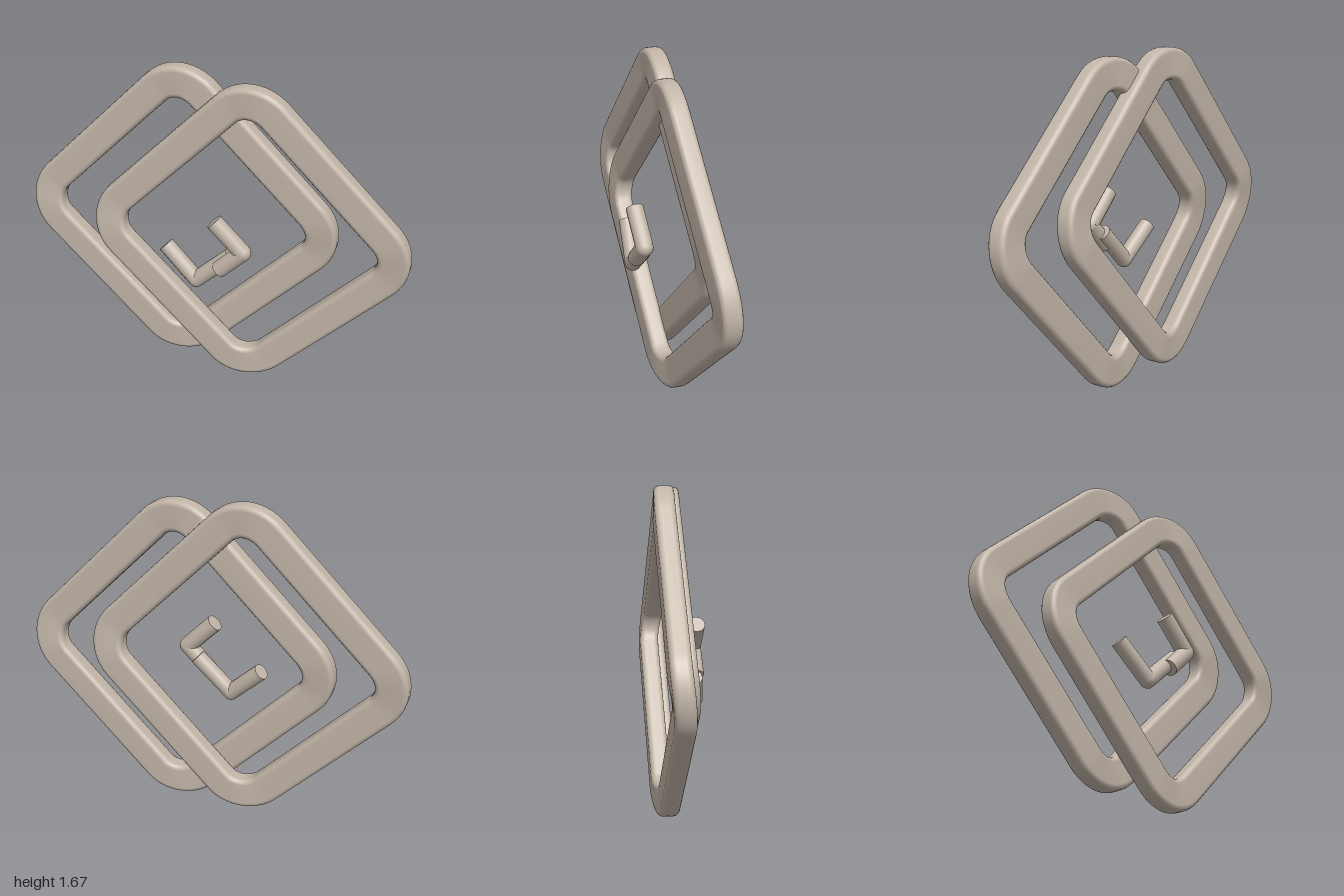
import * as THREE from 'three';

const stone = new THREE.MeshStandardMaterial({ color: 0xc2b5a8 });
stone.name = 'warmGrey';

// Rounded-rectangle cross-section as [across, depth] pairs, counter-clockwise
function section(width, depth, radius, steps) {
  const pts = [];
  [[1, 1], [-1, 1], [-1, -1], [1, -1]].forEach(([sx, sz], c) => {
    for (let k = 0; k <= steps; k++) {
      const a = (c + k / steps) * Math.PI / 2;
      pts.push([
        sx * (width / 2 - radius) + radius * Math.cos(a),
        sz * (depth / 2 - radius) + radius * Math.sin(a),
      ]);
    }
  });
  return pts;
}

// Diamond ring whose arms sit alternately a little forward and back
function ring(name, x, y, z) {
  const half = 0.571, bend = 0.178, shift = 0.011, arcSteps = 14;
  const prof = section(0.16, 0.097, 0.026, 4);
  const n = prof.length, rows = 4 * (arcSteps + 1);
  const pos = [], idx = [];
  for (let c = 0; c < 4; c++) {
    const mid = c * Math.PI / 2, d = (half - bend) * Math.SQRT2;
    for (let k = 0; k <= arcSteps; k++) {
      const t = k / arcSteps;
      const a = mid + (t - 0.5) * Math.PI / 2;
      const oz = (c % 2 ? 1 : -1) * shift * Math.cos(t * Math.PI);
      for (const [w, h] of prof) {
        pos.push(
          d * Math.cos(mid) + (bend + w) * Math.cos(a),
          d * Math.sin(mid) + (bend + w) * Math.sin(a),
          h + oz,
        );
      }
    }
  }
  for (let i = 0; i < rows; i++) {
    for (let j = 0; j < n; j++) {
      const i2 = (i + 1) % rows, j2 = (j + 1) % n;
      const a = i * n + j, b = i2 * n + j, e = i2 * n + j2, f = i * n + j2;
      idx.push(a, b, e, a, e, f);
    }
  }
  const g = new THREE.BufferGeometry();
  g.setAttribute('position', new THREE.Float32BufferAttribute(pos, 3));
  g.setIndex(idx);
  g.computeVertexNormals();
  const mesh = new THREE.Mesh(g, stone);
  mesh.name = name;
  mesh.position.set(x, y, z);
  return mesh;
}

// Bent rod: straight cylinders with a round elbow at each inner point
function rod(name, radius, points) {
  const group = new THREE.Group();
  group.name = name;
  const v = points.map((p) => new THREE.Vector3(...p));
  for (let i = 0; i + 1 < v.length; i++) {
    const dir = v[i + 1].clone().sub(v[i]);
    const bar = new THREE.Mesh(new THREE.CylinderGeometry(radius, radius, dir.length(), 16), stone);
    bar.name = 'bar';
    bar.position.copy(v[i]).add(v[i + 1]).multiplyScalar(0.5);
    bar.quaternion.setFromUnitVectors(new THREE.Vector3(0, 1, 0), dir.normalize());
    group.add(bar);
    if (i > 0) {
      const elbow = new THREE.Mesh(new THREE.SphereGeometry(radius, 16, 12), stone);
      elbow.name = 'elbow';
      elbow.position.copy(v[i]);
      group.add(elbow);
    }
  }
  return group;
}

export function createModel() {
  const model = new THREE.Group();
  model.name = 'linkedRings';
  model.add(
    ring('frontRing', 0.187, 0.813, -0.018),
    ring('backRing', -0.187, 0.851, -0.086),
    // Two bent rods that overlap in the middle of the rings
    rod('upperRod', 0.044, [[0.045, 0.95, 0.104], [0.193, 0.8, 0.104], [0.07, 0.68, 0.104]]),
    rod('lowerRod', 0.042, [[-0.225, 0.745, 0.054], [-0.055, 0.585, 0.08], [0.13, 0.757, 0.078]]),
  );
  return model;
}
